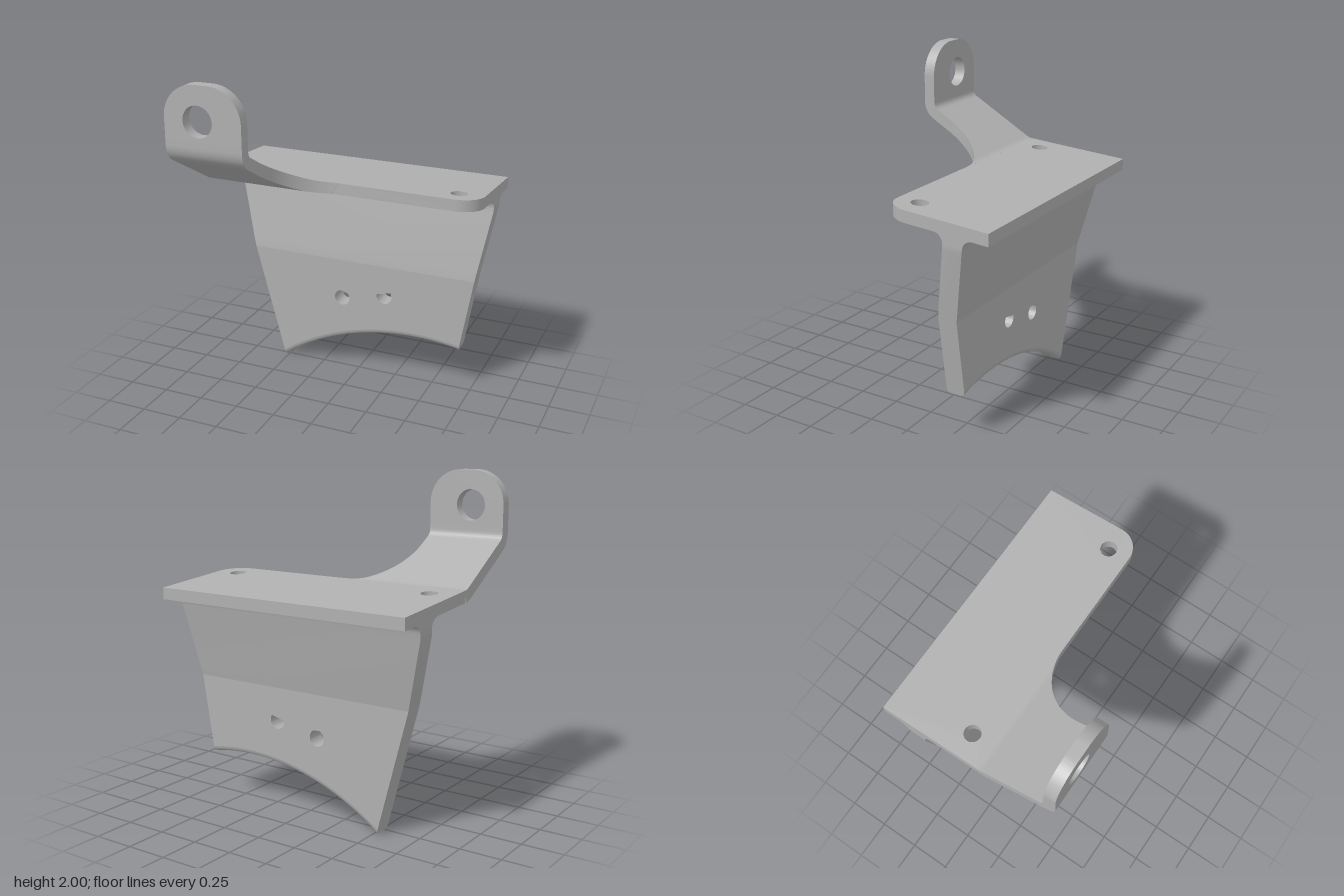
import * as THREE from 'three';
import { toCreasedNormals } from 'three/addons/utils/BufferGeometryUtils.js';

const CREASE = 0.6;
const V2 = (x, y) => new THREE.Vector2(x, y);

// Joins equal-sized rings of [x, y, z] points into a closed solid.
function loft(rings) {
  const n = rings[0].length;
  const index = [];
  for (let i = 0; i < rings.length - 1; i++) {
    for (let j = 0; j < n; j++) {
      const a = i * n + j, b = i * n + (j + 1) % n;
      index.push(a, b, b + n, a, b + n, a + n);
    }
  }
  const last = (rings.length - 1) * n;
  for (let j = 1; j < n - 1; j++) {
    index.push(0, j + 1, j, last, last + j, last + j + 1);
  }
  // Turn the faces outward if the rings ran the other way round
  const pts = rings.flat().map((p) => new THREE.Vector3(...p));
  let volume = 0;
  for (let i = 0; i < index.length; i += 3) {
    volume += pts[index[i]].dot(pts[index[i + 1]].clone().cross(pts[index[i + 2]]));
  }
  if (volume < 0) index.reverse();
  const geo = new THREE.BufferGeometry().setFromPoints(pts);
  geo.setIndex(index);
  return toCreasedNormals(geo, CREASE);
}

function addHole(shape, x, y, r) {
  shape.holes.push(new THREE.Path().absarc(x, y, r, 0, Math.PI * 2, true));
}

function extrude(shape, depth) {
  return new THREE.ExtrudeGeometry(shape, { depth, bevelEnabled: false, curveSegments: 20 });
}

export function createModel() {
  const group = new THREE.Group();
  const metal = new THREE.MeshStandardMaterial({ color: 0xb0b0b0 });
  metal.name = 'grey metal';
  const add = (name, geo) => {
    const mesh = new THREE.Mesh(geo, metal);
    mesh.name = name;
    group.add(mesh);
  };

  // Top plate: plan outline drawn in (x, -z), then sheared to its slight slope
  const plan = new THREE.Shape();
  plan.moveTo(-0.83, -0.065);
  plan.lineTo(0.69, -0.065);
  plan.absarc(0.69, 0.075, 0.14, -Math.PI / 2, 0, false);
  plan.lineTo(0.83, 0.58);
  plan.lineTo(-0.83, 0.58);
  plan.closePath();
  for (const x of [-0.68, 0.68]) addHole(plan, x, 0.07, 0.05);
  const plate = extrude(plan, 0.07).rotateX(-Math.PI / 2);
  const pos = plate.attributes.position;
  for (let i = 0; i < pos.count; i++) {
    pos.setY(i, pos.getY(i) + 1.29 + 0.077 * pos.getZ(i));
  }
  add('topPlate', toCreasedNormals(plate, CREASE));

  // Bent arm: a strip swept along a (z, y) path with a concave side edge
  const path = [
    [new THREE.LineCurve(V2(0.065, 1.33), V2(0.07, 1.3304)), 4],
    [new THREE.QuadraticBezierCurve(V2(0.07, 1.3304), V2(0.095, 1.3323), V2(0.125, 1.3495)), 12],
    [new THREE.LineCurve(V2(0.125, 1.3495), V2(0.5, 1.566)), 18],
    [new THREE.QuadraticBezierCurve(V2(0.5, 1.566), V2(0.545, 1.592), V2(0.545, 1.645)), 10],
    [new THREE.LineCurve(V2(0.545, 1.645), V2(0.545, 1.68)), 1],
  ];
  const edgeX = (z) => {
    const d = 0.41 - THREE.MathUtils.clamp(z, 0.065, 0.41);
    return -0.35 * Math.sqrt(Math.max(0, 1 - (d / 0.345) ** 2));
  };
  const armRings = [];
  path.forEach(([curve, steps], k) => {
    for (let i = k ? 1 : 0; i <= steps; i++) {
      const p = curve.getPoint(i / steps), t = curve.getTangent(i / steps);
      const [zt, yt] = [p.x - t.y * 0.035, p.y + t.x * 0.035];
      const [zb, yb] = [p.x + t.y * 0.035, p.y - t.x * 0.035];
      armRings.push([[-0.83, yb, zb], [edgeX(zb), yb, zb], [edgeX(zt), yt, zt], [-0.83, yt, zt]]);
    }
  });
  add('bentArm', loft(armRings));

  // Upright lug with its eye
  const lug = new THREE.Shape();
  lug.moveTo(-0.83, 1.68);
  lug.lineTo(-0.35, 1.68);
  lug.lineTo(-0.35, 1.8);
  lug.absarc(-0.55, 1.8, 0.2, 0, Math.PI / 2, false);
  lug.absarc(-0.63, 1.8, 0.2, Math.PI / 2, Math.PI, false);
  lug.closePath();
  addHole(lug, -0.62, 1.795, 0.092);
  add('lug', toCreasedNormals(extrude(lug, 0.07).translate(0, 0, 0.51), CREASE));

  // Web side edges
  const leftX = (y) => Math.max(-0.83, -0.52 - 0.2627 * y);
  const rightX = (y) => Math.min(0.825, 0.67 + 0.1694 * (y - 0.275));
  // Point on the arched lower edge, raised by h
  const arch = (u, h) => {
    const x = THREE.MathUtils.lerp(-0.52 - 0.27 * h, 0.67 + 0.17 * h, u);
    return [x, -1.2 + Math.sqrt((1.5 + h) ** 2 - (x - 0.38) ** 2)];
  };
  const ARCH_STEPS = 32;

  // Flat lower part of the web
  const web = new THREE.Shape();
  for (let i = 0; i <= ARCH_STEPS; i++) {
    const p = arch(i / ARCH_STEPS, 0.03);
    if (i) web.lineTo(...p);
    else web.moveTo(...p);
  }
  web.lineTo(rightX(0.75), 0.75);
  web.lineTo(leftX(0.75), 0.75);
  web.closePath();
  addHole(web, -0.11, 0.492, 0.05);
  addHole(web, 0.175, 0.55, 0.05);
  add('lowerWeb', toCreasedNormals(extrude(web, 0.115).translate(0, 0, -0.34), CREASE));

  // Rounded arched rim: (z, height) section carried along the arch
  const rim = [
    [-0.225, 0.03], [-0.227, 0.017], [-0.234, 0.006], [-0.247, 0],
    [-0.318, 0], [-0.331, 0.006], [-0.338, 0.017], [-0.34, 0.03],
  ];
  const rimRings = [];
  for (let i = 0; i <= ARCH_STEPS; i++) {
    rimRings.push(rim.map(([z, h]) => [...arch(i / ARCH_STEPS, h), z]));
  }
  add('archedRim', loft(rimRings));

  // Leaning upper web flaring into the plate: front z, y and back z, y
  const flare = [
    [-0.225, 0.75, -0.34, 0.75], [-0.231, 0.8, -0.348, 0.79],
    [-0.3, 1.18, -0.417, 1.17], [-0.304, 1.205, -0.421, 1.19],
    [-0.302, 1.225, -0.425, 1.212], [-0.292, 1.245, -0.434, 1.23],
    [-0.275, 1.261, -0.452, 1.244], [-0.25, 1.27, -0.475, 1.251],
    [-0.215, 1.276, -0.5, 1.254], [-0.21, 1.29, -0.5, 1.27],
  ];
  add('upperWeb', loft(flare.map(([zf, yf, zb, yb]) => [
    [leftX(yf), yf, zf], [rightX(yf), yf, zf], [rightX(yb), yb, zb], [leftX(yb), yb, zb],
  ])));

  return group;
}
